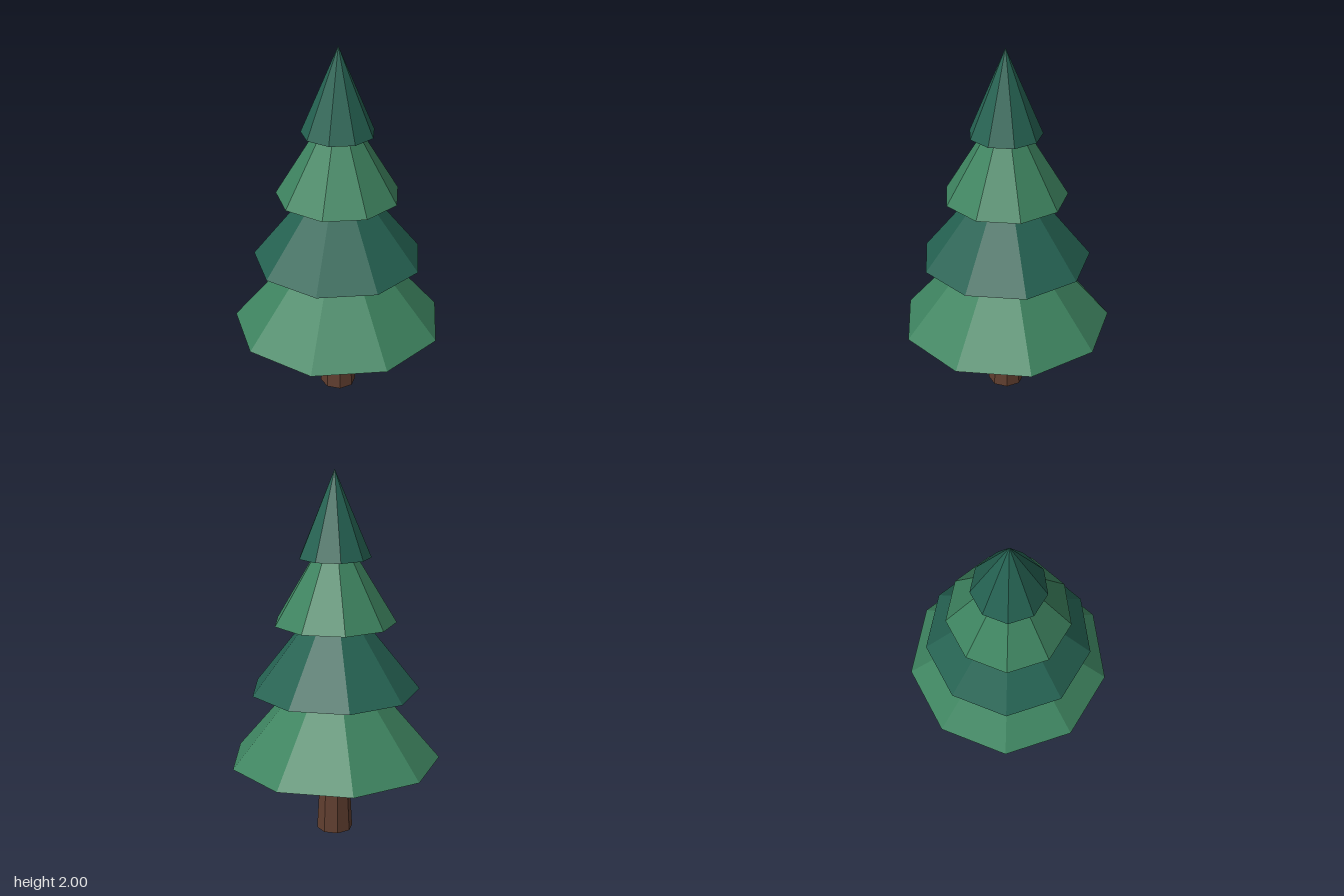
import * as THREE from 'three';

const material = (name, color) => {
  const m = new THREE.MeshStandardMaterial({ color, flatShading: true });
  m.name = name;
  return m;
};

export function createModel() {
  const tree = new THREE.Group();
  tree.name = 'pineTree';

  const bark = material('bark brown', 0x603e2f);
  const light = material('light green', 0x3e8460);
  const dark = material('dark green', 0x256252);
  const axisZ = 0.016; // the odd-sided crown sits slightly forward of its bounds

  // Tapered eight-sided trunk, its top hidden inside the lowest tier
  const trunk = new THREE.Mesh(new THREE.CylinderGeometry(0.073, 0.1, 0.5, 8), bark);
  trunk.name = 'trunk';
  trunk.position.set(0, 0.25, axisZ);
  tree.add(trunk);

  // Nine-sided foliage cones: base height, apex height, radius, colour
  const tiers = [
    ['bottomFoliage', 0.42, 1.1, 0.58, light],
    ['lowerFoliage', 0.82, 1.4, 0.462, dark],
    ['upperFoliage', 1.19, 1.74, 0.333, light],
    ['topFoliage', 1.54, 2.0, 0.195, dark],
  ];
  for (const [name, base, apex, radius, mat] of tiers) {
    const cone = new THREE.Mesh(new THREE.ConeGeometry(radius, apex - base, 9), mat);
    cone.name = name;
    cone.position.set(0, (base + apex) / 2, axisZ);
    cone.rotation.y = Math.PI; // one corner points straight back
    tree.add(cone);
  }

  return tree;
}
